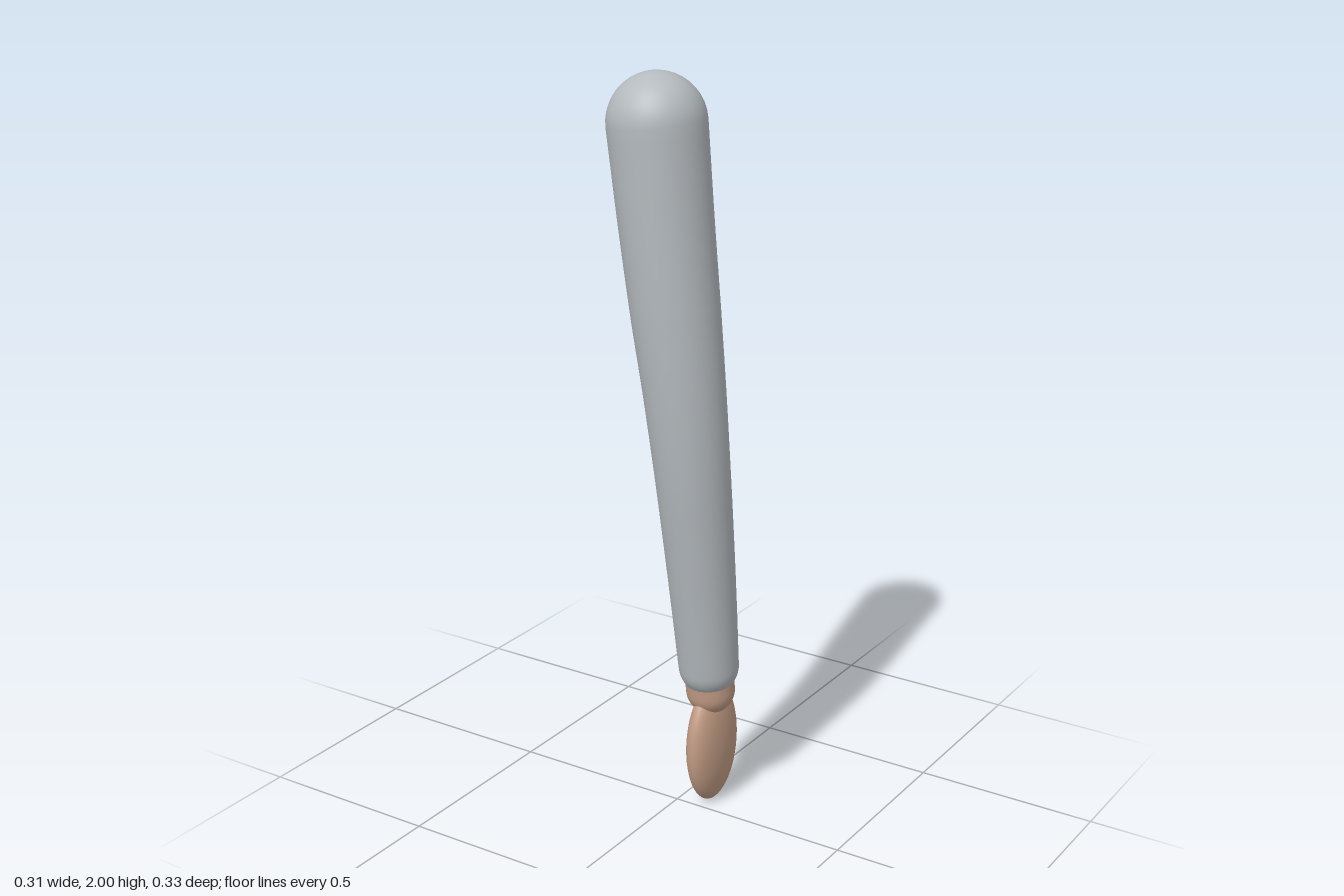
import * as THREE from 'three';

const SIDES = 40;

// Smooth capsule swept along a curve, with a radius per control point and round ends
function sweptCapsule(points, radii, steps, capSteps) {
  const curve = new THREE.CatmullRomCurve3(points.map(p => new THREE.Vector3(...p)));
  const up = new THREE.Vector3(0, 1, 0);
  const rings = [];
  const radiusAt = t => {
    const f = t * (radii.length - 1);
    const i = Math.min(Math.floor(f), radii.length - 2);
    return THREE.MathUtils.lerp(radii[i], radii[i + 1], f - i);
  };
  const addRing = (t, along, r) => {
    const dir = curve.getTangent(t);
    const centre = curve.getPoint(t).addScaledVector(dir, along);
    rings.push({ centre, r, q: new THREE.Quaternion().setFromUnitVectors(up, dir) });
  };
  const first = radii[0], last = radii[radii.length - 1];
  for (let i = 0; i < capSteps; i++) {
    const a = (i / capSteps) * Math.PI / 2;
    addRing(0, -first * Math.cos(a), Math.max(first * Math.sin(a), 1e-4));
  }
  for (let i = 0; i <= steps; i++) addRing(i / steps, 0, radiusAt(i / steps));
  for (let i = 1; i <= capSteps; i++) {
    const a = (i / capSteps) * Math.PI / 2;
    addRing(1, last * Math.sin(a), Math.max(last * Math.cos(a), 1e-4));
  }

  const position = [], index = [];
  rings.forEach(({ centre, r, q }, j) => {
    for (let i = 0; i < SIDES; i++) {
      const a = (i / SIDES) * Math.PI * 2;
      const v = new THREE.Vector3(Math.sin(a) * r, 0, Math.cos(a) * r).applyQuaternion(q).add(centre);
      position.push(v.x, v.y, v.z);
      if (j === rings.length - 1) continue;
      const n = (i + 1) % SIDES, b = j * SIDES, c = b + SIDES;
      index.push(b + i, b + n, c + n, b + i, c + n, c + i);
    }
  });
  const geometry = new THREE.BufferGeometry();
  geometry.setAttribute('position', new THREE.Float32BufferAttribute(position, 3));
  geometry.setIndex(index);
  geometry.computeVertexNormals();
  return geometry;
}

export function createModel() {
  const group = new THREE.Group();
  group.name = 'arm';
  const sleeveGrey = new THREE.MeshStandardMaterial({ color: 0xb4babe });
  sleeveGrey.name = 'sleeve grey';
  const skin = new THREE.MeshStandardMaterial({ color: 0xc29c84 });
  skin.name = 'skin';

  const add = (name, geometry, material) => {
    const mesh = new THREE.Mesh(geometry, material);
    mesh.name = name;
    group.add(mesh);
    return mesh;
  };

  // Sleeve: gently bent and tapering from shoulder to cuff
  add('sleeve', sweptCapsule([
    [0.07, 0.41, -0.047],
    [0.067, 0.6, -0.026],
    [0.063, 0.8, -0.003],
    [0.056, 1.0, 0.018],
    [0.041, 1.2, 0.03],
    [0.019, 1.4, 0.036],
    [-0.007, 1.63, 0.039],
    [-0.033, 1.875, 0.04],
  ], [0.081, 0.087, 0.093, 0.099, 0.106, 0.114, 0.12, 0.126], 48, 10), sleeveGrey);

  // Wrist: short rounded stub emerging from the cuff
  add('wrist', sweptCapsule([
    [0.071, 0.335, -0.055],
    [0.07, 0.42, -0.046],
  ], [0.066, 0.066], 4, 10), skin);

  // Hand: flattened oval
  const hand = add('hand', new THREE.SphereGeometry(1, 40, 28), skin);
  hand.scale.set(0.048, 0.172, 0.105);
  hand.position.set(0.071, 0.176, -0.063);

  return group;
}
